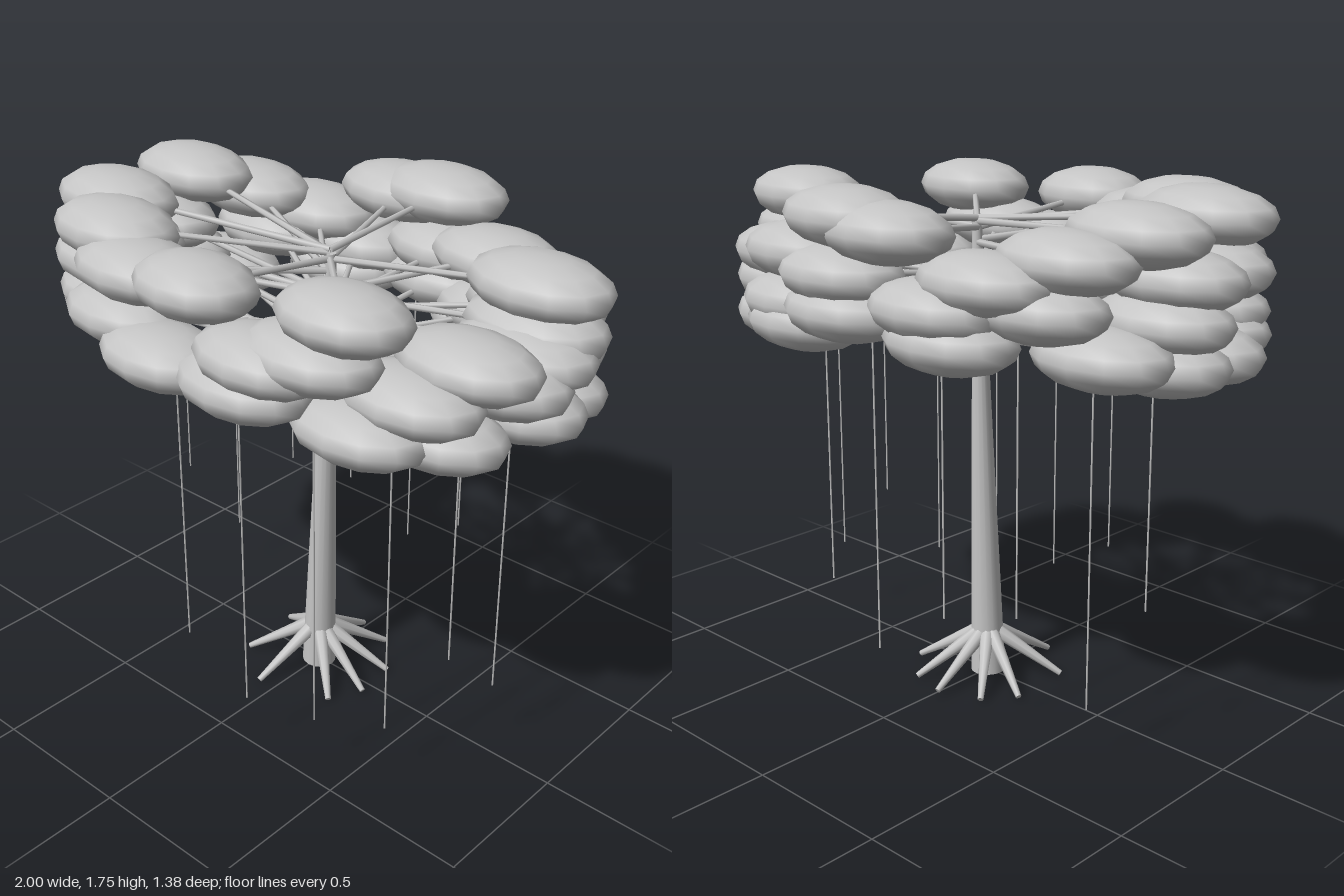
import * as THREE from 'three';

export function createModel() {
  const model = new THREE.Group();
  const grey = new THREE.MeshStandardMaterial({ color: 0xc4c4c4 });
  grey.name = 'plain grey';
  const rad = THREE.MathUtils.degToRad;
  const up = new THREE.Vector3(0, 1, 0);

  // Tapered rod between two points
  function rod(name, a, b, ra, rb, sides, parent) {
    const dir = b.clone().sub(a);
    const mesh = new THREE.Mesh(new THREE.CylinderGeometry(rb, ra, dir.length(), sides), grey);
    mesh.name = name;
    mesh.position.copy(a).add(b).multiplyScalar(0.5);
    mesh.quaternion.setFromUnitVectors(up, dir.normalize());
    parent.add(mesh);
  }
  function group(name) {
    const g = new THREE.Group();
    g.name = name;
    model.add(g);
    return g;
  }
  const V = (x, y, z) => new THREE.Vector3(x, y, z);

  // Leaning trunk, tapering up to the crown
  rod('trunk', V(0, 0, 0), V(0.05, 1.58, 0), 0.06, 0.016, 16, model);

  // Splayed roots
  const roots = group('roots');
  for (const angle of [12, 41, 103, 150, 203, 232, 268, 298, 338]) {
    const c = Math.cos(rad(angle)), s = Math.sin(rad(angle));
    rod('root', V(c * 0.03, 0.15, s * 0.03), V(c * 0.26, 0.01, s * 0.26), 0.026, 0.01, 8, roots);
  }

  // Leaf clumps on an oval ring, each as [angle, height, width], with a branch to the trunk
  const clumps = [
    // top tier
    [52, 1.62, 0.225], [90, 1.62, 0.215], [113, 1.58], [130, 1.64], [155, 1.65], [197, 1.64],
    [217, 1.57], [263, 1.62], [276, 1.65], [345, 1.62],
    // upper middle tier
    [19, 1.47], [60, 1.49], [72, 1.45], [140, 1.5], [160, 1.5], [182, 1.5], [237, 1.5],
    [279, 1.47], [297, 1.51], [322, 1.46], [347, 1.5], [356, 1.45],
    // lower middle tier
    [8, 1.4], [35, 1.38], [77, 1.355], [103, 1.34], [123, 1.39], [146, 1.355], [187, 1.38],
    [224, 1.43], [250, 1.41], [246, 1.32], [277, 1.36], [301, 1.34], [325, 1.36],
    // bottom tier
    [0, 1.3], [28, 1.27], [48, 1.28], [150, 1.29], [168, 1.26], [188, 1.26],
    [207, 1.29], [298, 1.28], [312, 1.27], [335, 1.26],
  ];
  const crown = group('crown');
  const branches = group('branches');
  const leafGeometry = new THREE.SphereGeometry(1, 12, 8);
  for (const [angle, y, width = 0.24] of clumps) {
    const p = V(0.76 * Math.cos(rad(angle)), y, 0.53 * Math.sin(rad(angle)));
    const leaf = new THREE.Mesh(leafGeometry, grey);
    leaf.name = 'leafClump';
    leaf.position.copy(p);
    leaf.scale.set(width, 0.095, 0.16);
    crown.add(leaf);
    rod('branch', V(0.045, y - 0.06, 0), p, 0.012, 0.009, 6, branches);
  }

  // Thin hanging vines, each as [x, z, bottom height]
  const vines = group('vines');
  const hangs = [
    [-0.75, -0.09, 0.48], [-0.665, -0.26, 0.18], [-0.5, -0.4, 0.48], [-0.28, -0.49, 0.44],
    [-0.11, 0.525, 0.34], [-0.025, -0.53, 0.27], [0.15, 0.52, 0.2], [0.23, -0.5, 0.43],
    [0.39, 0.455, 0.2], [0.585, 0.335, 0.2], [0.71, 0.18, 0.45], [0.76, 0, 0.27],
  ];
  for (const [x, z, y] of hangs) rod('vine', V(x, y, z), V(x, 1.3, z), 0.003, 0.003, 5, vines);

  return model;
}
